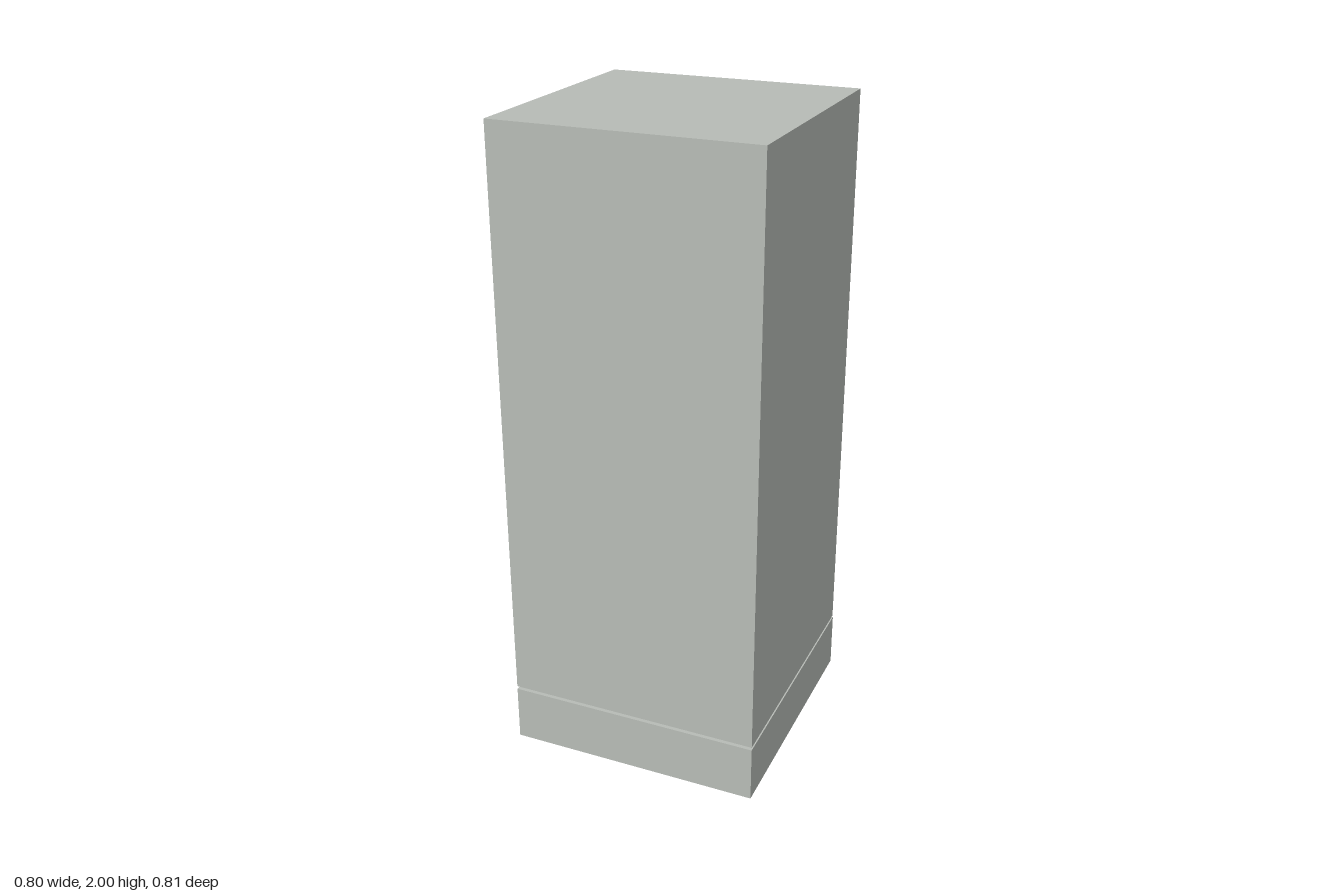
import * as THREE from 'three';

const paint = new THREE.MeshStandardMaterial({ color: 0xb9bdb8 });
paint.name = 'greyPaint';
const glass = new THREE.MeshStandardMaterial({ color: 0x57594f });
glass.name = 'smokedGlass';
const dark = new THREE.MeshStandardMaterial({ color: 0x353a35 });
dark.name = 'darkPlastic';
const pale = new THREE.MeshStandardMaterial({ color: 0xd4d7d4 });
pale.name = 'paleBadge';

const FRONT = 0.4025;   // plain panel, +z
const DOOR = -0.3965;   // outer door plane, -z
const DEPTH = 0.01;     // door thickness and pane recess

function add(parent, name, geometry, material) {
  const mesh = new THREE.Mesh(geometry, material);
  mesh.name = name;
  parent.add(mesh);
  return mesh;
}

// box given by its lower and upper limits
function box(parent, name, material, x0, x1, y0, y1, z0, z1) {
  const mesh = add(parent, name, new THREE.BoxGeometry(x1 - x0, y1 - y0, z1 - z0), material);
  mesh.position.set((x0 + x1) / 2, (y0 + y1) / 2, (z0 + z1) / 2);
  return mesh;
}

function rect(Type, x0, x1, y0, y1) {
  const points = [[x0, y0], [x1, y0], [x1, y1], [x0, y1]];
  return new Type(points.map(([x, y]) => new THREE.Vector2(x, y)));
}

// rectangular frame, extruded in z from z0
function frame(parent, name, material, outer, inner, z0, depth) {
  const shape = rect(THREE.Shape, ...outer);
  shape.holes.push(rect(THREE.Path, ...inner));
  const geometry = new THREE.ExtrudeGeometry(shape, { depth, bevelEnabled: false });
  geometry.translate(0, 0, z0);
  return add(parent, name, geometry, material);
}

// hinge leaf: wedge that thins away from the knuckle
function hingeLeaf(parent, y0, height) {
  const shape = new THREE.Shape([
    [-0.4, DOOR + 0.001], [-0.4, -0.402], [-0.397, -0.404], [-0.391, -0.4035],
    [-0.37, -0.3985], [-0.37, DOOR + 0.001],
  ].map(([x, z]) => new THREE.Vector2(x, z)));
  const geometry = new THREE.ExtrudeGeometry(shape, { depth: height, bevelEnabled: false });
  geometry.rotateX(Math.PI / 2).translate(0, y0 + height, 0);
  add(parent, 'hingeLeaf', geometry, dark);
}

// bowed handle grip: side profile extruded across x
function handleGrip(parent, x0, x1) {
  const z = -DOOR;
  const shape = new THREE.Shape([
    [z, 1.022], [z + 0.003, 1.022], [z + 0.006, 1.04], [z + 0.0075, 1.065],
    [z + 0.0075, 1.115], [z + 0.006, 1.14], [z + 0.003, 1.158], [z, 1.158],
  ].map(([d, y]) => new THREE.Vector2(d, y)));
  const geometry = new THREE.ExtrudeGeometry(shape, { depth: x1 - x0, bevelEnabled: false });
  geometry.rotateY(Math.PI / 2).translate(x0, 0, 0);
  add(parent, 'handleGrip', geometry, dark);
}

export function createModel() {
  const group = new THREE.Group();
  group.name = 'cabinet';

  // plinth and floating cabinet body, separated by a narrow gap
  box(group, 'plinth', paint, -0.4, 0.4, 0, 0.18, -FRONT, FRONT);
  box(group, 'cabinetBody', paint, -0.4, 0.4, 0.19, 2, DOOR + DEPTH, FRONT);

  // door frame with recessed pane
  const door = new THREE.Group();
  door.name = 'door';
  group.add(door);
  const pane = [-0.34, 0.297, 0.285, 1.915];
  const seal = [-0.336, 0.293, 0.289, 1.911];
  frame(door, 'doorFrame', paint, [-0.4, 0.4, 0.19, 2], pane, DOOR, DEPTH);
  frame(door, 'paneSeal', dark, pane, seal, DOOR + 0.001, DEPTH - 0.001);
  box(door, 'pane', glass, ...seal, DOOR + 0.007, DOOR + DEPTH);

  // small oval badge in the upper corner of the pane
  const badge = add(door, 'badge', new THREE.CylinderGeometry(0.02, 0.02, 0.002, 24), pale);
  badge.rotation.x = Math.PI / 2;
  badge.scale.z = 0.75;
  badge.position.set(-0.289, 1.85, DOOR + 0.006);

  // three hinges, each of two leaves
  for (const y of [0.345, 1.095, 1.845]) {
    const hinge = new THREE.Group();
    hinge.name = 'hinge';
    hingeLeaf(hinge, y - 0.0375, 0.0355);
    hingeLeaf(hinge, y + 0.002, 0.0355);
    door.add(hinge);
  }

  // handle on a thin backplate
  const handle = new THREE.Group();
  handle.name = 'handle';
  door.add(handle);
  box(handle, 'handlePlate', dark, 0.322, 0.375, 1.02, 1.16, DOOR - 0.002, DOOR + 0.001);
  handleGrip(handle, 0.328, 0.341);
  handleGrip(handle, 0.344, 0.362);

  return group;
}
